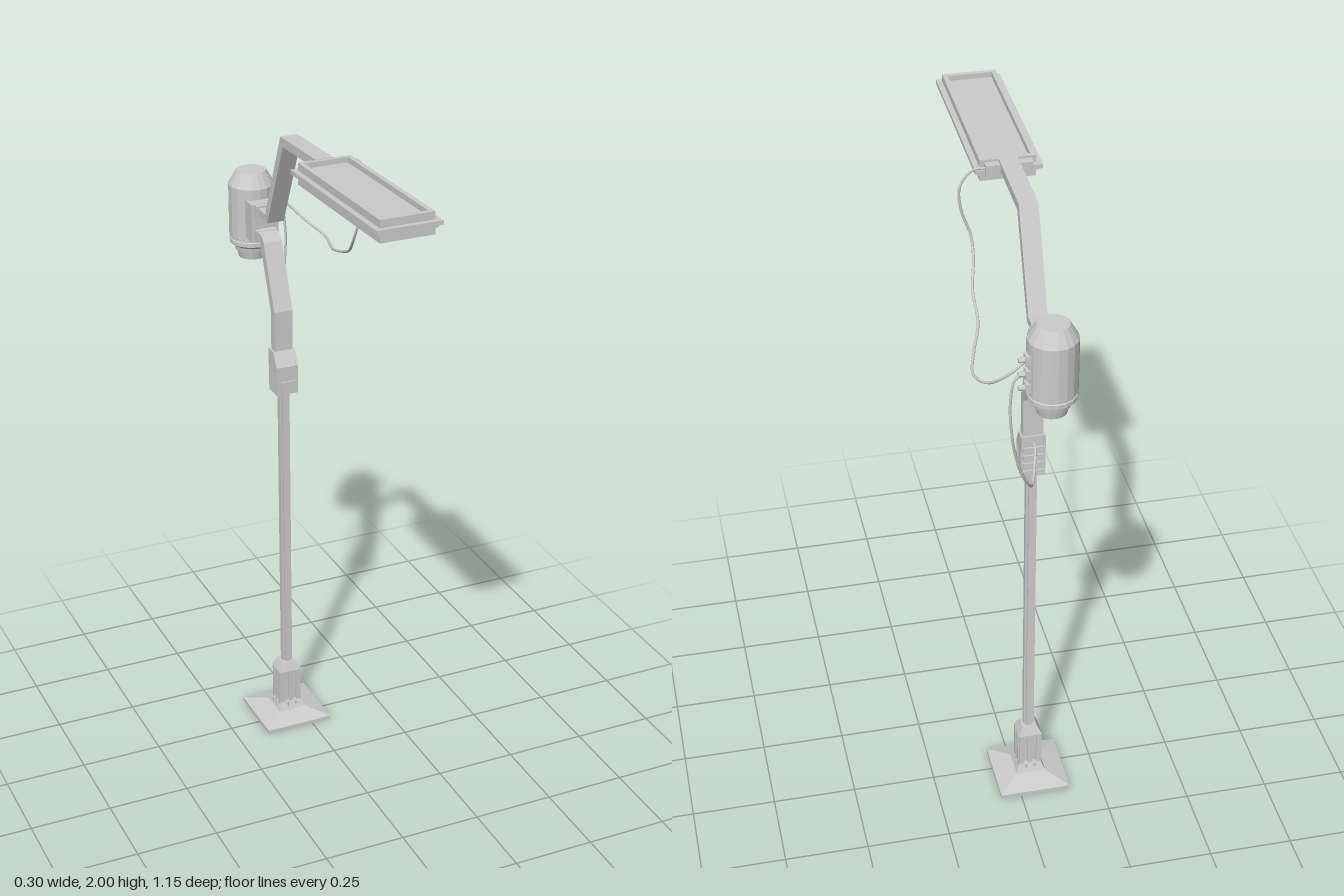
import * as THREE from 'three';

const X = -0.045; // post axis
const Z = -0.275;
const mat = new THREE.MeshStandardMaterial({ color: 0xcccccc, flatShading: true });
const smooth = new THREE.MeshStandardMaterial({ color: 0xcccccc });

function add(parent, name, geo, x = 0, y = 0, z = 0, m = mat) {
  const mesh = new THREE.Mesh(geo, m);
  mesh.name = name;
  mesh.position.set(x, y, z);
  parent.add(mesh);
  return mesh;
}

const box = (w, h, d) => new THREE.BoxGeometry(w, h, d);

// Four-sided taper standing on y = 0
function taper(w0, d0, w1, d1, h) {
  const g = box(1, h, 1).translate(0, h / 2, 0);
  const p = g.attributes.position;
  for (let i = 0; i < p.count; i++) {
    const top = p.getY(i) > h / 2;
    p.setX(i, p.getX(i) * (top ? w1 : w0));
    p.setZ(i, p.getZ(i) * (top ? d1 : d0));
  }
  g.computeVertexNormals();
  return g;
}

// Side outline of [z, y] points, given a width along x
function sideProfile(points, width) {
  const shape = new THREE.Shape(points.map(([z, y]) => new THREE.Vector2(z, y)));
  return new THREE.ExtrudeGeometry(shape, { depth: width, bevelEnabled: false })
    .rotateY(-Math.PI / 2).translate(width / 2, 0, 0);
}

// Flat rectangular frame standing on y = 0
function frame(w, d, rim, h) {
  const rect = (P, a, b) => new P([[-a, -b], [a, -b], [a, b], [-a, b]].map(([x, y]) => new THREE.Vector2(x, y)));
  const shape = rect(THREE.Shape, w / 2, d / 2);
  shape.holes.push(rect(THREE.Path, w / 2 - rim, d / 2 - rim));
  return new THREE.ExtrudeGeometry(shape, { depth: h, bevelEnabled: false }).rotateX(-Math.PI / 2);
}

function cable(parent, name, points) {
  const curve = new THREE.CatmullRomCurve3(points.map((p) => new THREE.Vector3(...p)));
  add(parent, name, new THREE.TubeGeometry(curve, 72, 0.004, 8), 0, 0, 0, smooth);
}

function makeBase() {
  const g = new THREE.Group();
  g.name = 'base';
  g.position.set(X, 0, Z);
  add(g, 'basePlate', box(0.216, 0.012, 0.216), 0, 0.006, -0.004);
  add(g, 'baseSlope', taper(0.216, 0.216, 0.09, 0.09, 0.02), 0, 0.012, -0.004);
  add(g, 'baseFlare', taper(0.09, 0.09, 0.064, 0.062, 0.03), 0, 0.032, 0);
  add(g, 'socket', box(0.062, 0.14, 0.054), 0, 0.1, 0);
  add(g, 'socketCap', taper(0.074, 0.066, 0.044, 0.044, 0.03), 0, 0.17, 0);
  // Upright ribs on all four sides
  for (const s of [-1, 1]) {
    for (const k of [-0.026, 0, 0.026]) {
      add(g, 'socketRib', box(0.013, 0.12, 0.008), k, 0.11, s * 0.029);
      add(g, 'socketRib', box(0.008, 0.12, 0.012), s * 0.033, 0.11, k * 0.85);
    }
    for (const k of [-0.013, 0.013]) {
      add(g, 'bolt', new THREE.CylinderGeometry(0.006, 0.006, 0.02, 6), s * 0.037, 0.046, k);
      add(g, 'bolt', new THREE.CylinderGeometry(0.006, 0.006, 0.02, 6), k, 0.046, s * 0.034);
    }
  }
  return g;
}

function makePole() {
  // Square section with notched corners
  const a = 0.016, b = 0.009, pts = [];
  for (let i = 0; i < 4; i++) {
    for (const [x, y] of [[a, -b], [a, b], [b, b]]) {
      pts.push(new THREE.Vector2(x, y).rotateAround(new THREE.Vector2(), i * Math.PI / 2));
    }
  }
  return new THREE.ExtrudeGeometry(new THREE.Shape(pts), { depth: 0.98, bevelEnabled: false }).rotateX(-Math.PI / 2);
}

function makeJoint() {
  const g = new THREE.Group();
  g.name = 'joint';
  g.position.set(X, 0, 0);
  add(g, 'jointBody', sideProfile([[-0.243, 1.155], [-0.243, 1.245], [-0.268, 1.29], [-0.302, 1.29], [-0.302, 1.155]], 0.06));
  add(g, 'jointFrontPlate', box(0.045, 0.025, 0.006), 0, 1.185, -0.241);
  for (const s of [-1, 1]) {
    add(g, 'jointCheek', sideProfile([[-0.242, 1.235], [-0.242, 1.247], [-0.268, 1.29], [-0.304, 1.29], [-0.304, 1.235]], 0.006), s * 0.032);
    for (let i = 0; i < 4; i++) add(g, 'jointRib', box(0.006, 0.08, 0.009), s * 0.032, 1.195, -0.248 - i * 0.0165);
  }
  for (let i = 0; i < 4; i++) add(g, 'jointBackRidge', box(0.06, 0.014, 0.008), 0, 1.17 + i * 0.026, -0.304);
  return g;
}

function makeMotor() {
  const g = new THREE.Group();
  g.name = 'powerUnit';
  g.position.set(X, 0, -0.505);
  const outline = [[0, 1.512], [0.042, 1.512], [0.047, 1.535], [0.052, 1.537], [0.054, 1.55], [0.069, 1.56], [0.069, 1.572],
    [0.066, 1.574], [0.066, 1.58], [0.07, 1.582], [0.07, 1.742], [0.045, 1.785], [0, 1.785]];
  add(g, 'housing', new THREE.LatheGeometry(outline.map(([r, y]) => new THREE.Vector2(r, y)), 18));
  // Cable sockets on the left side
  for (const y of [1.692, 1.648, 1.606]) {
    add(g, 'socketBlock', box(0.02, 0.026, 0.03), 0.068, y, -0.012);
    add(g, 'socketPin', new THREE.CylinderGeometry(0.007, 0.009, 0.022, 8).rotateZ(-Math.PI / 2), 0.085, y, -0.015);
  }
  return g;
}

function makeLampHead() {
  const g = new THREE.Group();
  g.name = 'lampHead';
  g.position.set(X, 1.961, 0.295);
  g.rotation.x = -0.024;
  add(g, 'topFrame', frame(0.158, 0.522, 0.014, 0.024), 0, 0.007, 0);
  add(g, 'flange', box(0.19, 0.012, 0.554), 0, 0.003, 0);
  add(g, 'topPanel', box(0.128, 0.008, 0.492), 0, 0.012, 0);
  add(g, 'bottomLip', frame(0.172, 0.536, 0.02, 0.008), 0, -0.011, 0);
  add(g, 'bottomFrame', frame(0.158, 0.522, 0.018, 0.022), 0, -0.032, 0);
  add(g, 'lightPanel', box(0.126, 0.008, 0.49), 0, -0.013, 0);
  add(g, 'mountPlate', box(0.133, 0.032, 0.024), 0, 0.008, -0.272);
  return g;
}

export function createModel() {
  const model = new THREE.Group();
  model.name = 'streetLamp';
  model.add(makeBase(), makeJoint(), makeMotor(), makeLampHead());
  add(model, 'pole', makePole(), X, 0.19, Z);

  // Bent arms below and above the bracket
  add(model, 'lowerArm', sideProfile([[-0.268, 1.28], [-0.268, 1.415], [-0.343, 1.61], [-0.355, 1.625], [-0.41, 1.635],
    [-0.41, 1.605], [-0.371, 1.602], [-0.296, 1.41], [-0.296, 1.28]], 0.058), X);
  add(model, 'upperArm', sideProfile([[0.035, 1.987], [0.035, 1.96], [-0.196, 1.952], [-0.32, 1.68], [-0.41, 1.68],
    [-0.41, 1.705], [-0.336, 1.702], [-0.214, 1.978]], 0.053), X);

  // Forked bracket holding the power unit
  add(model, 'bracket', box(0.085, 0.118, 0.05), X, 1.652, -0.425);
  add(model, 'bracketCollar', box(0.066, 0.04, 0.02), X, 1.69, -0.396);
  add(model, 'bracketCollar', box(0.066, 0.034, 0.02), X, 1.615, -0.396);

  cable(model, 'lampCable', [[0.015, 1.967, 0.022], [0.055, 1.966, 0.022], [0.092, 1.92, 0.022], [0.09, 1.85, 0.022],
    [0.063, 1.764, 0.018], [0.062, 1.71, -0.01], [0.08, 1.655, -0.08], [0.09, 1.615, -0.2], [0.12, 1.59, -0.29],
    [0.145, 1.585, -0.4], [0.12, 1.607, -0.48], [0.07, 1.66, -0.525], [0.03, 1.69, -0.52]]);
  cable(model, 'supplyCable', [[0.025, 1.648, -0.52], [0.058, 1.637, -0.522], [0.072, 1.57, -0.524], [0.066, 1.45, -0.52],
    [0.048, 1.36, -0.505], [0.025, 1.29, -0.49], [0.003, 1.245, -0.465], [-0.015, 1.215, -0.42],
    [-0.035, 1.233, -0.36], [-0.045, 1.265, -0.325], [-0.045, 1.27, -0.295]]);
  return model;
}
